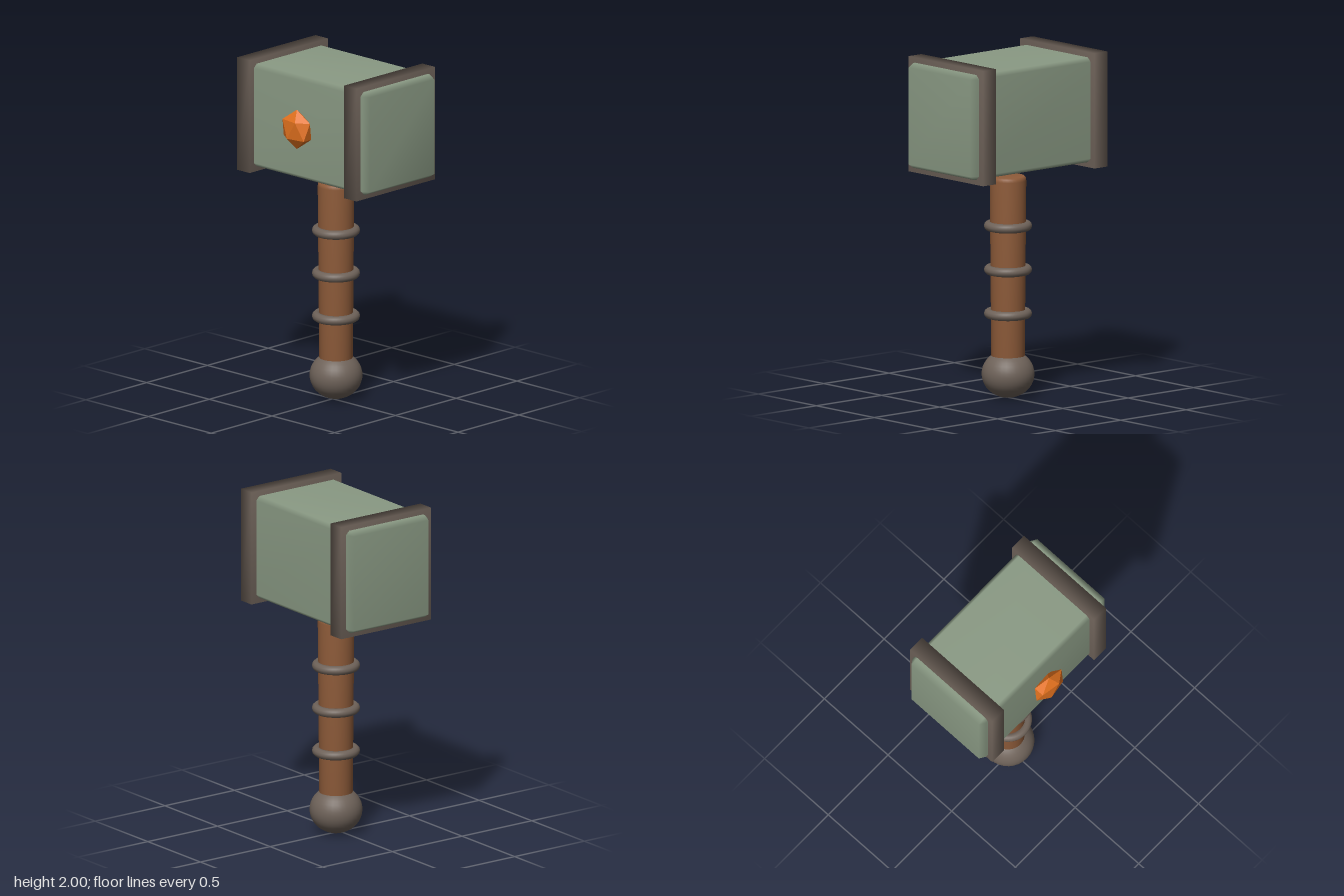
import * as THREE from 'three';
import { mergeVertices } from 'three/addons/utils/BufferGeometryUtils.js';
import { ConvexGeometry } from 'three/addons/geometries/ConvexGeometry.js';

const CENTER_Z = -0.027;

function material(name, color) {
  const m = new THREE.MeshStandardMaterial({ color });
  m.name = name;
  return m;
}

// Share corner vertices so the shading runs softly over the edges
function softened(geometry) {
  geometry.deleteAttribute('normal');
  geometry.deleteAttribute('uv');
  const merged = mergeVertices(geometry, 1e-4);
  merged.computeVertexNormals();
  return merged;
}

// Box with chamfered edges and corners; h = half sizes, c = chamfer per axis
function chamferedBox(h, c) {
  const points = [];
  for (const sx of [-1, 1]) for (const sy of [-1, 1]) for (const sz of [-1, 1]) {
    const s = [sx, sy, sz];
    for (let full = 0; full < 3; full++) {
      const p = s.map((sign, i) => sign * (i === full ? h[i] : h[i] - c[i]));
      points.push(new THREE.Vector3(...p));
    }
  }
  return softened(new ConvexGeometry(points));
}

// Twenty-sided stone standing on a point, flattened in depth
function gemGeometry(radius, depth) {
  const points = [new THREE.Vector3(0, radius, 0), new THREE.Vector3(0, -radius, 0)];
  for (let i = 0; i < 10; i++) {
    const a = (i * Math.PI) / 5;
    points.push(new THREE.Vector3(
      Math.cos(a) * 0.894 * radius,
      (i % 2 ? -0.447 : 0.447) * radius,
      Math.sin(a) * 0.894 * radius * depth));
  }
  return new ConvexGeometry(points);
}

export function createModel() {
  const group = new THREE.Group();
  const stone = material('stone', 0x8a9a84);
  const iron = material('iron', 0x6e6259);
  const wood = material('wood', 0x8f5c3a);
  const amber = material('amber', 0xe0701e);
  amber.flatShading = true;

  const add = (name, geometry, mat, x, y, z = CENTER_Z) => {
    const mesh = new THREE.Mesh(geometry, mat);
    mesh.name = name;
    mesh.position.set(x, y, z);
    group.add(mesh);
    return mesh;
  };

  // Hammer head
  add('head', chamferedBox([0.527, 0.305, 0.288], [0.037, 0.023, 0.023]), stone, 0, 1.665);

  // Square bands near both ends
  for (const side of [-1, 1]) {
    add(side < 0 ? 'rightBand' : 'leftBand',
      softened(new THREE.BoxGeometry(0.1, 0.67, 0.645)), iron, side * 0.426, 1.665);
  }

  // Gem on the front face
  add('gem', gemGeometry(0.117, 0.5), amber, 0, 1.665, 0.295);

  // Slightly tapered handle with a rounded top edge
  const profile = [[0, 0.2], [0.096, 0.2], [0.105, 1.265], [0.102, 1.282], [0.093, 1.29], [0, 1.29]]
    .map(([r, y]) => new THREE.Vector2(r, y));
  add('handle', new THREE.LatheGeometry(profile, 32), wood, 0, 0);

  // Grip rings
  for (const y of [0.49, 0.745, 1.0]) {
    const ring = add('gripRing', new THREE.TorusGeometry(0.111, 0.027, 12, 48), iron, 0, y);
    ring.rotation.x = Math.PI / 2;
  }

  // Pommel
  const pommel = add('pommel', new THREE.SphereGeometry(0.152, 32, 20), iron, 0, 0.138);
  pommel.scale.y = 0.138 / 0.152;

  return group;
}
